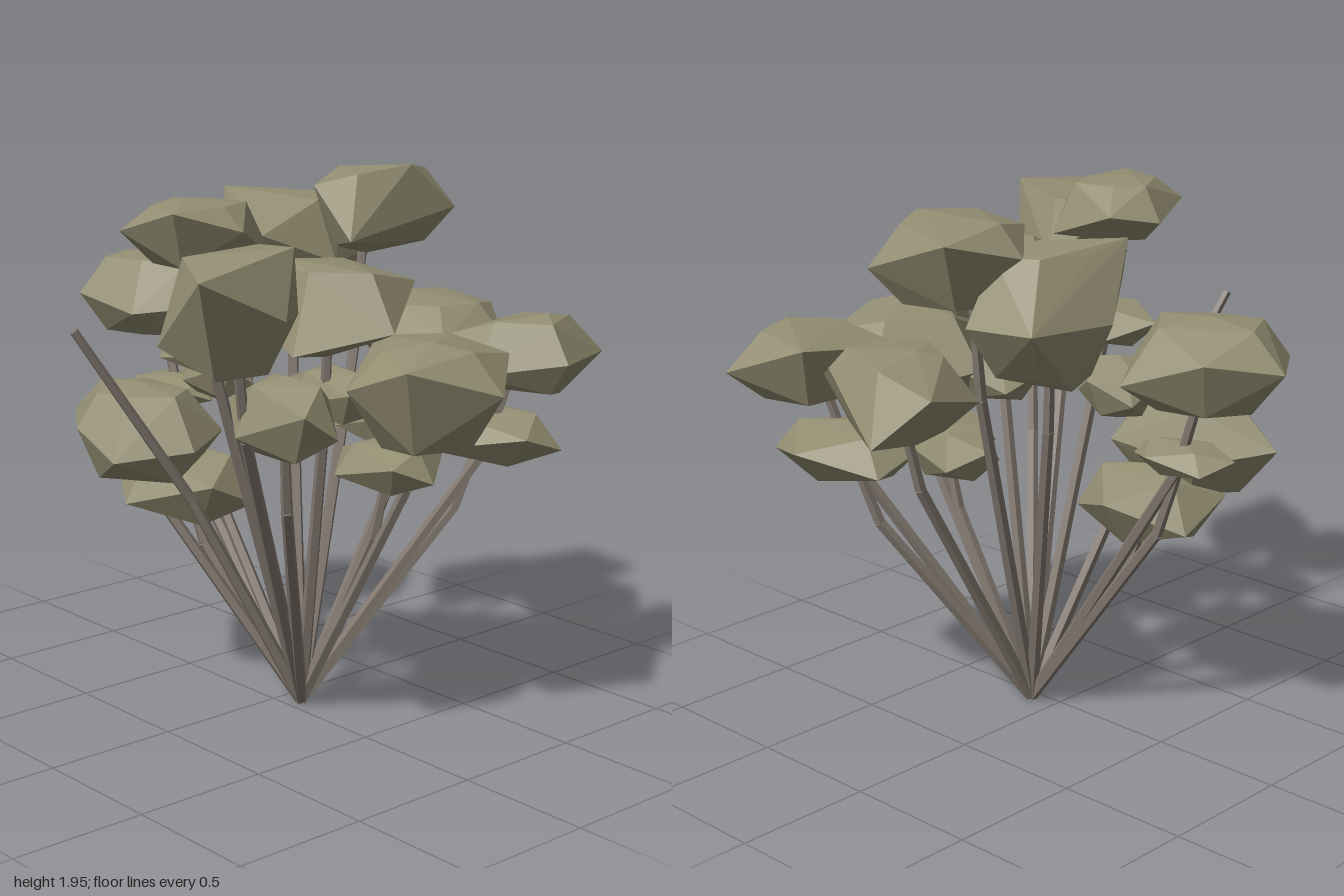
import * as THREE from 'three';
import { ConvexGeometry } from 'three/addons/geometries/ConvexGeometry.js';

const foliage = new THREE.MeshStandardMaterial({ color: 0x938e72, flatShading: true });
foliage.name = 'olive foliage';
const bark = new THREE.MeshStandardMaterial({ color: 0x847a71, flatShading: true });
bark.name = 'grey brown bark';

// All stems fan out from one point on the ground
const ROOT = new THREE.Vector3(0.05, 0.012, 0.1);

// Zigzag six-sided outline for the small clumps
function oval(x, z, halfX, halfZ, [bottom, top], turn) {
  const points = [];
  for (let i = 0; i < 6; i++) {
    const a = turn + (i / 6) * Math.PI * 2 + 0.15 * Math.sin(i * 2.4);
    const y = (bottom + top) / 2 + (i % 2 ? -0.16 : 0.16) * (top - bottom);
    points.push([x + halfX * 1.06 * Math.cos(a), y, z + halfZ * 1.06 * Math.sin(a)]);
  }
  return points;
}

const middle = (outline, k) => outline.reduce((sum, p) => sum + p[k], 0) / outline.length;

// Faceted clump: hull of a widest outline, inset shoulders above and below it,
// one peak and one pit, the last two given as x, z
function clumpGeometry(outline, [bottom, top], peak, pit) {
  const half = (top - bottom) / 2;
  const midY = (top + bottom) / 2;
  const cx = middle(outline, 0);
  const cz = middle(outline, 2);
  const points = [
    new THREE.Vector3(peak[0], top, peak[1]),
    new THREE.Vector3(pit[0], bottom, pit[1]),
  ];
  outline.forEach(([x, y, z], i) => {
    points.push(new THREE.Vector3(x, y, z));
    const level = (y - midY) / half;
    const inset = 0.58 + 0.08 * (i % 2);
    for (const side of [-1, 1]) {
      if (level * side > 0.3) continue;
      points.push(new THREE.Vector3(
        cx + (x - cx) * inset, midY + side * half * 0.85, cz + (z - cz) * inset));
    }
  });
  return new ConvexGeometry(points);
}

// Tapered five-sided rod between two points
function rod(name, from, to, r0, r1) {
  const dir = to.clone().sub(from);
  const mesh = new THREE.Mesh(new THREE.CylinderGeometry(r1, r0, dir.length(), 5), bark);
  mesh.name = name;
  mesh.position.copy(from).addScaledVector(dir, 0.5);
  mesh.quaternion.setFromUnitVectors(new THREE.Vector3(0, 1, 0), dir.normalize());
  return mesh;
}

// Stem with one bend: leaning below, steeper above
function stem(tip, bendOut = 0.84, bendUp = 0.72) {
  const bend = new THREE.Vector3().lerpVectors(ROOT, tip, bendOut);
  bend.y = tip.y * bendUp;
  const group = new THREE.Group();
  group.name = 'stem';
  group.add(rod('lowerStem', ROOT, bend, 0.025, 0.021), rod('upperStem', bend, tip, 0.021, 0.016));
  return group;
}

export function createModel() {
  const model = new THREE.Group();
  model.name = 'shrub';

  function clump(name, outline, range, { peak, pit, bare = false } = {}) {
    const centre = [middle(outline, 0), middle(outline, 2)];
    const mesh = new THREE.Mesh(clumpGeometry(outline, range, peak ?? centre, pit ?? centre), foliage);
    mesh.name = name;
    model.add(mesh);
    if (!bare) model.add(stem(new THREE.Vector3(centre[0], (range[0] + range[1]) / 2, centre[1])));
  }

  // Crown clumps
  clump('backClump', [[0, 1.46, -1], [-0.25, 1.45, -0.83], [-0.21, 1.4, -0.56], [0, 1.43, -0.36],
    [0.3, 1.4, -0.55], [0.21, 1.5, -0.83]], [1.28, 1.61]);
  clump('backRightClump', [[-0.37, 1.05, -0.7], [-0.59, 1.06, -0.39], [-0.57, 0.96, -0.2],
    [-0.35, 1, -0.02], [-0.14, 1.03, -0.12], [-0.16, 1, -0.49]], [0.84, 1.21]);
  clump('backLeftClump', [[0.05, 1.7, -0.34], [-0.01, 1.73, -0.05], [0.3, 1.61, 0],
    [0.66, 1.6, -0.2], [0.6, 1.6, -0.44], [0.29, 1.6, -0.51]], [1.38, 1.86],
    { peak: [0.15, -0.45], pit: [0.4, -0.43] });
  clump('topLeftClump', [[0.5, 1.82, -0.31], [0.29, 1.88, -0.11], [0.26, 1.7, 0.12],
    [0.81, 1.78, 0.1], [0.77, 1.89, -0.22]], [1.63, 1.95], { peak: [0.6, 0.08], pit: [0.45, 0] });
  clump('leftClump', [[0.8, 1.38, -0.18], [0.95, 1.22, -0.05], [0.87, 1.43, 0.24], [0.74, 1.35, 0.42],
    [0.45, 1.35, 0.41], [0.37, 1.3, 0.2], [0.5, 1.3, -0.1]], [1.17, 1.48], { peak: [0.65, 0.04] });
  clump('frontLeftClump', [[0.38, 1.38, 0.41], [0.8, 1.43, 0.46], [0.9, 1.32, 0.76],
    [0.57, 1.33, 0.89], [0.37, 1.28, 0.64]], [1.19, 1.48], { peak: [0.65, 0.72], pit: [0.7, 0.74] });
  clump('frontClump', [[-0.22, 1.31, 0.62], [-0.17, 1.4, 0.85], [0.14, 1.3, 0.99],
    [0.4, 1.38, 0.77], [0.46, 1.18, 0.5], [0.1, 1.25, 0.3]], [1.07, 1.46],
    { peak: [0.05, 0.76], pit: [0.03, 0.7] });
  clump('middleClump', [[-0.1, 1.53, 0.08], [-0.3, 1.5, 0.27], [-0.34, 1.42, 0.49],
    [-0.1, 1.5, 0.72], [0.16, 1.63, 0.55], [0.14, 1.53, 0.24]], [1.4, 1.71],
    { peak: [-0.18, 0.3], pit: [-0.18, 0.48] });
  clump('frontRightClump', [[-0.96, 1.77, 0.77], [-0.87, 1.52, 0.45], [-0.6, 1.75, 0.24],
    [-0.33, 1.6, 0.37], [-0.45, 1.6, 0.64], [-0.64, 1.62, 0.8]], [1.41, 1.83],
    { peak: [-0.53, 0.71], pit: [-0.73, 0.58] });
  clump('topRightClump', [[-0.69, 1.82, 0.02], [-0.4, 1.78, -0.12], [-0.24, 1.81, -0.02],
    [-0.22, 1.72, 0.24], [-0.45, 1.83, 0.37], [-0.67, 1.9, 0.28]], [1.69, 1.92], { peak: [-0.5, 0.12] });

  // Small clumps below the crown: x, z, half sizes, height range, turn
  const small = (name, x, z, halfX, halfZ, range, turn, bare) =>
    clump(name, oval(x, z, halfX, halfZ, range, turn), range, { bare });
  small('lowBackClump', 0, -0.575, 0.13, 0.195, [1.03, 1.15], 0.3);
  small('lowRightClump', -0.42, 0.54, 0.165, 0.2, [1.09, 1.38], 0.1);
  small('innerRightClump', -0.36, 0.14, 0.16, 0.26, [1.3, 1.48], 0.5, true);
  small('innerBackClump', -0.11, -0.18, 0.12, 0.16, [1.13, 1.36], 0.2, true);
  small('lowFrontClump', 0.12, 0.48, 0.18, 0.2, [0.88, 1.07], 0.4);
  small('lowLeftClump', 0.575, 0.5, 0.235, 0.29, [0.92, 1.13], 0);
  small('innerLeftClump', 0.38, 0.17, 0.135, 0.19, [0.94, 1.15], 0.6, true);
  small('lowestClump', -0.19, -0.27, 0.24, 0.27, [0.67, 0.96], 0);
  small('innerFrontClump', 0, 0.33, 0.14, 0.2, [1.12, 1.32], 0.3, true);

  // Bare stem reaching out on one side
  model.add(stem(new THREE.Vector3(-0.77, 1.47, -0.14), 0.5, 0.56));
  return model;
}
